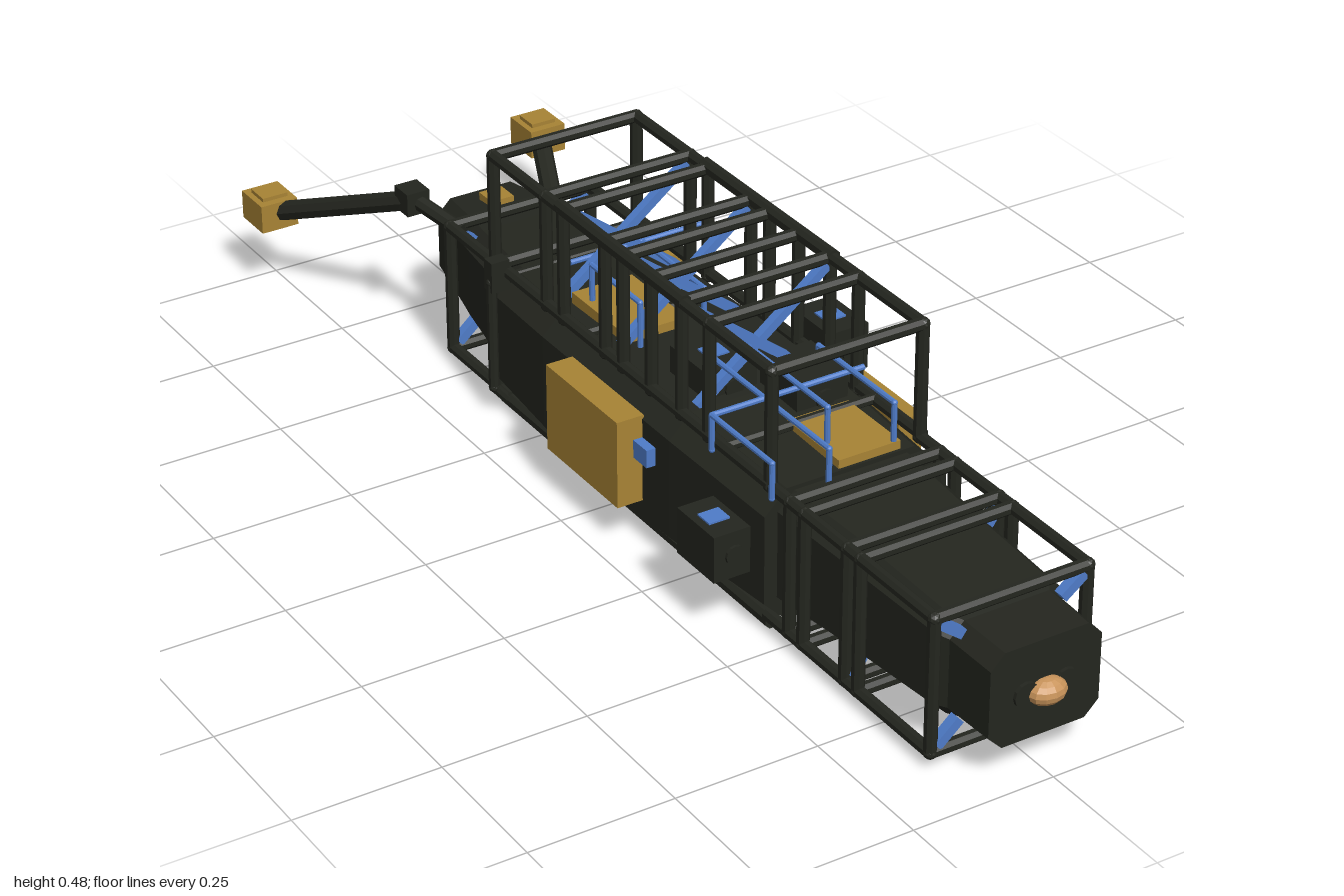
import * as THREE from 'three';

const mat = (color) => new THREE.MeshStandardMaterial({ color, flatShading: true });

export function createModel() {
  const model = new THREE.Group();
  const dark = mat(0x24261f), gold = mat(0xa88435), blue = mat(0x4f7cc9), copper = mat(0xc8935a);

  const add = (name, geometry, material, x = 0, y = 0, z = 0) => {
    const mesh = new THREE.Mesh(geometry, material);
    mesh.name = name;
    mesh.position.set(x, y, z);
    model.add(mesh);
    return mesh;
  };
  // Box given by its limits on each axis
  const box = (name, material, [x0, x1], [y0, y1], [z0, z1]) =>
    add(name, new THREE.BoxGeometry(x1 - x0, y1 - y0, z1 - z0), material,
      (x0 + x1) / 2, (y0 + y1) / 2, (z0 + z1) / 2);
  // Faceted bar between two points
  const bar = (name, material, a, b, r = 0.011, sides = 8) => {
    const p = new THREE.Vector3(...a), q = new THREE.Vector3(...b);
    const d = q.clone().sub(p), len = d.length();
    const g = new THREE.CylinderGeometry(r, r, len, sides);
    g.rotateY(Math.PI / sides);
    const mesh = add(name, g, material, ...p.add(q).multiplyScalar(0.5).toArray());
    mesh.quaternion.setFromUnitVectors(new THREE.Vector3(0, 1, 0), d.normalize());
    return mesh;
  };
  // Bent run of bars with a ball at each corner
  const path = (name, material, points, r = 0.011) => {
    points.forEach((p, i) => {
      if (i) bar(name, material, points[i - 1], p, r);
      add(name + 'Joint', new THREE.IcosahedronGeometry(r * 1.05, 1), material, ...p);
    });
  };
  // Chamfered hull from sections [z, halfWidth, bottom, top, chamfer], back to front
  const loft = (name, sections) => {
    const rings = sections.map(([z, w, b, t, c]) => [
      [w, b + c], [w, t - c], [w - c, t], [-w + c, t],
      [-w, t - c], [-w, b + c], [-w + c, b], [w - c, b],
    ].map(([x, y]) => [x, y, z]));
    const pos = [];
    const tri = (...pts) => pts.forEach((p) => pos.push(...p));
    for (let i = 0; i + 1 < rings.length; i++) {
      for (let j = 0; j < 8; j++) {
        const k = (j + 1) % 8, p = rings[i], q = rings[i + 1];
        tri(p[j], p[k], q[k]);
        tri(p[j], q[k], q[j]);
      }
    }
    const first = rings[0], last = rings[rings.length - 1];
    for (let j = 1; j < 7; j++) {
      tri(first[0], first[j + 1], first[j]);
      tri(last[0], last[j], last[j + 1]);
    }
    const g = new THREE.BufferGeometry();
    g.setAttribute('position', new THREE.Float32BufferAttribute(pos, 3));
    g.computeVertexNormals();
    add(name, g, dark);
  };

  // Hull: tail, main body and nose
  loft('tail', [
    [-0.69, 0.085, 0.085, 0.235, 0.025], [-0.57, 0.105, 0.065, 0.245, 0.03],
    [-0.54, 0.11, 0.06, 0.245, 0.03], [-0.36, 0.135, 0.035, 0.255, 0.035],
  ]);
  loft('mainBody', [
    [-0.365, 0.155, 0.025, 0.26, 0.04], [-0.2, 0.163, 0.015, 0.265, 0.04],
    [0, 0.168, 0.008, 0.27, 0.04], [0.2, 0.168, 0.012, 0.27, 0.04],
    [0.46, 0.158, 0.025, 0.262, 0.04],
  ]);
  loft('nose', [
    [0.45, 0.135, 0.04, 0.255, 0.03], [0.62, 0.125, 0.05, 0.25, 0.03],
    [0.85, 0.115, 0.065, 0.24, 0.025], [0.87, 0.102, 0.065, 0.235, 0.025],
    [0.97, 0.1, 0.067, 0.233, 0.025],
  ]);

  // Nose sensors
  const lens = add('noseDome', new THREE.SphereGeometry(1, 12, 8), copper, 0, 0.145, 0.974);
  lens.scale.set(0.034, 0.022, 0.026);
  for (const s of [-1, 1]) {
    const port = add('nosePort', new THREE.CylinderGeometry(0.022, 0.022, 0.01, 12), dark, s * 0.036, 0.148, 0.971);
    port.rotation.x = Math.PI / 2;
  }

  // Square frames around nose and tail
  const w = 0.138, lo = 0.03, hi = 0.265;
  for (const z of [0.88, 0.69, 0.655, 0.54, 0.5, -0.39, -0.55]) {
    path('hullFrame', dark, [[-w, lo, z], [w, lo, z], [w, hi, z], [-w, hi, z], [-w, lo, z]]);
  }
  for (const s of [-1, 1]) {
    for (const y of [lo, hi]) {
      bar('noseRail', dark, [s * w, y, 0.88], [s * w, y, 0.44]);
      bar('tailRail', dark, [s * w, y, -0.35], [s * w, y, -0.55]);
      // Corner struts holding the frames to the hull
      const inY = y === lo ? 0.075 : 0.225;
      for (const [z, x] of [[0.88, 0.09], [0.66, 0.11], [-0.55, 0.09]]) {
        bar('cornerStrut', blue, [s * 0.13, y + (y === lo ? 0.01 : -0.01), z], [s * x, inY, z], 0.012, 4);
      }
    }
    // Side sill and bottom edge rail
    bar('sideSill', dark, [s * 0.14, 0.27, 0.45], [s * 0.14, 0.27, -0.4]);
    bar('edgeRail', dark, [s * 0.135, 0.022, 0.45], [s * 0.135, 0.022, -0.37], 0.014);
    box('bulkheadLug', dark, s > 0 ? [0.14, 0.174] : [-0.174, -0.14], s > 0 ? [0.012, 0.06] : [0.24, 0.296], [-0.37, -0.345]);
  }
  path('bulkheadHoop', dark, [[-0.135, 0.015, -0.357], [0.135, 0.015, -0.357], [0.168, 0.055, -0.357],
    [0.168, 0.255, -0.357], [-0.168, 0.255, -0.357], [-0.168, 0.055, -0.357], [-0.135, 0.015, -0.357]], 0.009);

  // Tall cage over the back
  const top = 0.466;
  for (const z of [0.445, 0.27, 0.19, 0.1, 0.015, -0.04, -0.17, -0.225, -0.395]) {
    path('cageHoop', dark, [[-w, 0.265, z], [-w, top, z], [w, top, z], [w, 0.265, z]]);
  }
  for (const s of [-1, 1]) {
    bar('cageTopRail', dark, [s * w, top, 0.445], [s * w, top, -0.395]);
    bar('cageUpperRail', dark, [s * w, top + 0.004, 0.2], [s * w, top + 0.004, -0.18], 0.012);
    for (const z of [0.19, -0.04, -0.225]) {
      bar('cageBrace', blue, [s * 0.13, 0.455, z], [-s * 0.11, 0.27, z], 0.011, 4);
    }
  }
  for (const z of [0.32, -0.1]) bar('deckCrossBar', dark, [-w, 0.272, z], [w, 0.272, z], 0.009);

  // Handrails: x, height, z from, z to
  for (const [x, y, z0, z1] of [
    [-0.085, 0.35, -0.17, -0.02], [0.085, 0.345, 0.24, 0.45], [-0.055, 0.322, 0.14, 0.48],
    [-0.005, 0.34, 0.13, 0.4], [0.055, 0.322, -0.27, -0.05], [-0.152, 0.322, 0.3, 0.47],
  ]) {
    path('handrail', blue, [[x, 0.26, z0], [x, y, z0], [x, y, z1], [x, 0.26, z1]], 0.005);
  }
  bar('crossHandrail', blue, [-0.152, 0.322, 0.3], [0.13, 0.322, 0.3], 0.005);
  bar('rearCrossHandrail', blue, [-0.085, 0.322, -0.24], [0.19, 0.322, -0.24], 0.005);

  // Deck equipment
  box('frontDeckPanel', gold, [-0.02, 0.095], [0.25, 0.277], [0.31, 0.455]);
  box('rearDeckPanel', gold, [-0.1, 0.015], [0.25, 0.285], [-0.21, -0.04]);
  box('tailSensor', gold, [-0.022, 0.022], [0.235, 0.252], [-0.655, -0.612]);

  // Camera boxes with a blue cap on top and a round port in front
  for (const [x, y, z] of [[0.182, 0.277, 0.128], [-0.04, 0.277, 0.128], [0.063, 0.277, 0.232], [-0.198, 0.153, 0.378]]) {
    const hw = x > 0.1 ? 0.038 : x < -0.1 ? 0.033 : 0.048;
    box('cameraBox', dark, [x - hw, x + hw], [y - 0.041, y + 0.041], [z - 0.053, z + 0.053]);
    box('cameraCap', blue, [x - 0.019, x + 0.019], [y + 0.04, y + 0.044], [z - 0.017, z + 0.017]);
    const port = add('cameraPort', new THREE.CylinderGeometry(0.017, 0.017, 0.008, 12), dark, x + 0.004, y, z + 0.054);
    port.rotation.x = Math.PI / 2;
  }

  // Side equipment
  box('leftPanel', gold, [0.165, 0.209], [0.08, 0.237], [0.13, 0.35]);
  box('leftPanelFrame', blue, [0.205, 0.217], [0.12, 0.197], [0.19, 0.288]);
  box('leftPanelScreen', dark, [0.205, 0.22], [0.1, 0.222], [0.2, 0.278]);
  box('rightPanel', gold, [-0.215, -0.165], [0.08, 0.237], [-0.1, 0.12]);
  for (const z of [-0.13, 0.14]) box('rightPanelClip', blue, [-0.185, -0.16], [0.165, 0.197], [z - 0.02, z + 0.02]);
  for (const y of [0.155, 0.178, 0.2]) bar('sidePipe', blue, [0.172, y, 0.14], [0.172, y, -0.045], 0.007);
  for (const z of [-0.03, -0.335]) box('sideSensor', gold, [0.155, 0.186], [0.2, 0.23], [z - 0.018, z + 0.018]);

  // Tail booms: one high on the right, one low on the left, each ending in a pod
  for (const [s, rootY, kneeY] of [[-1, 0.255, 0.275], [1, 0.045, 0.035]]) {
    bar('boomRoot', dark, [s * 0.12, rootY, -0.54], [s * 0.15, kneeY, -0.655], 0.014);
    box('boomKnee', dark, s > 0 ? [0.13, 0.173] : [-0.173, -0.13], [kneeY - 0.021, kneeY + 0.021], [-0.68, -0.635]);
    bar('boomArm', dark, [s * 0.15, kneeY, -0.65], [s * 0.268, 0.155, -0.945], 0.018);
    const x = s * 0.273;
    box('boomPod', gold, [x - 0.035, x + 0.035], [0.13, 0.182], [-1, -0.925]);
    box('boomPodCore', gold, [x - 0.024, x + 0.024], [0.121, 0.189], [-0.985, -0.94]);
  }
  return model;
}
